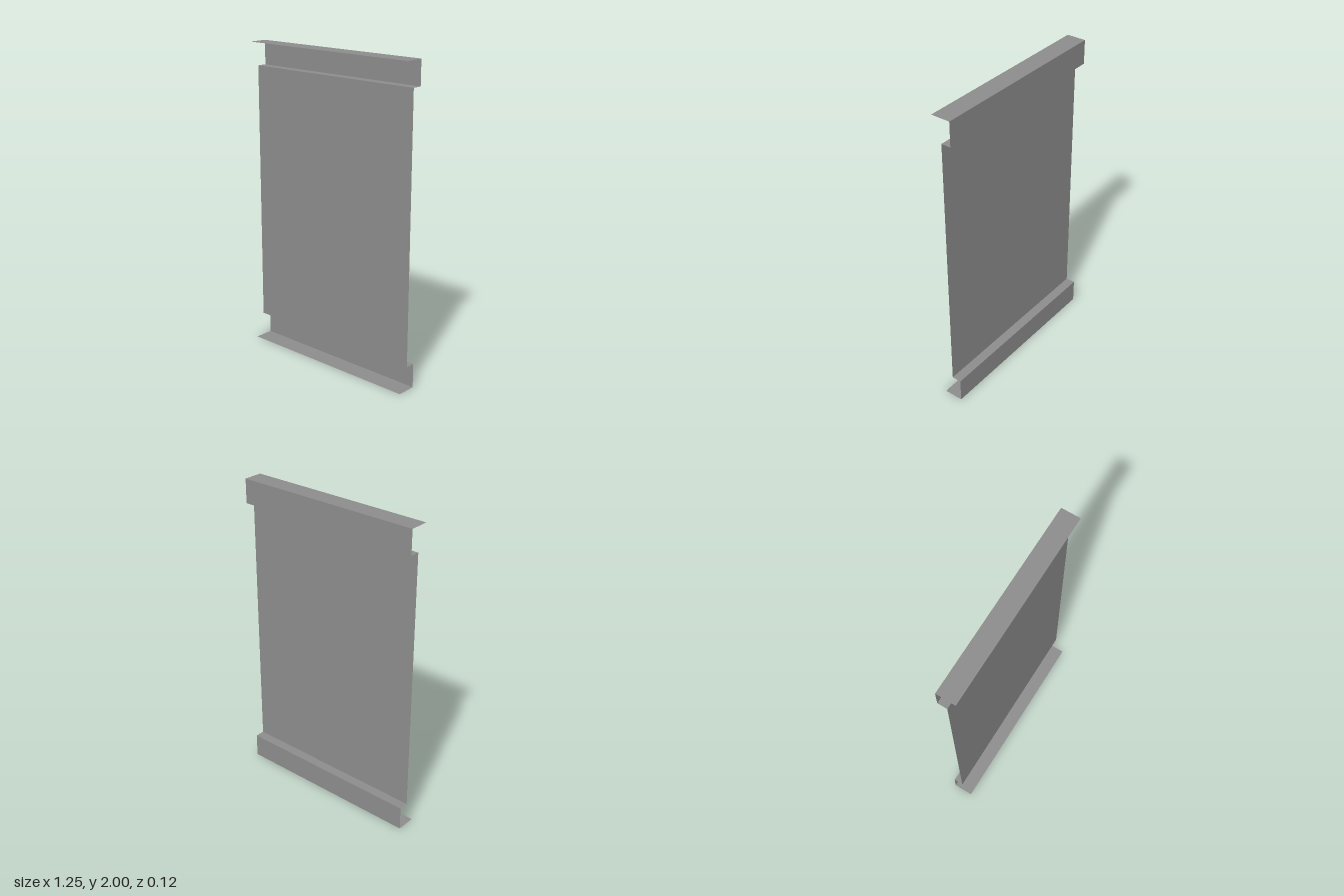
import * as THREE from 'three';

const WIDTH = 1.245, BACK = -0.062, FRONT = 0.062, PANEL = 0;
const HEIGHT = 2, LIP = 0.155; // height of each recessed edge band

export function createModel() {
  const model = new THREE.Group();
  model.name = 'foldedSheetPanel';
  const greyMetal = new THREE.MeshStandardMaterial({ color: 0x8c8c8c, side: THREE.DoubleSide });
  greyMetal.name = 'grey metal';

  // Upright sheet spanning y0..y1 at depth z
  function upright(name, y0, y1, z) {
    const mesh = new THREE.Mesh(new THREE.PlaneGeometry(WIDTH, y1 - y0), greyMetal);
    mesh.position.set(0, (y0 + y1) / 2, z);
    mesh.name = name;
    model.add(mesh);
  }

  // Level sheet spanning z0..z1 at height y, facing up or down
  function level(name, y, z0, z1, facing) {
    const geometry = new THREE.PlaneGeometry(WIDTH, z1 - z0).rotateX(-facing * Math.PI / 2);
    const mesh = new THREE.Mesh(geometry, greyMetal);
    mesh.position.set(0, y, (z0 + z1) / 2);
    mesh.name = name;
    model.add(mesh);
  }

  // Main face
  upright('mainPanel', LIP, HEIGHT - LIP, PANEL);

  // Mirrored folds: step back, recessed band, then forward flange
  level('topStep', HEIGHT - LIP, BACK, PANEL, 1);
  upright('topBand', HEIGHT - LIP, HEIGHT, BACK);
  level('topFlange', HEIGHT, BACK, FRONT, 1);
  level('bottomStep', LIP, BACK, PANEL, -1);
  upright('bottomBand', 0, LIP, BACK);
  level('bottomFlange', 0, BACK, FRONT, -1);

  return model;
}
